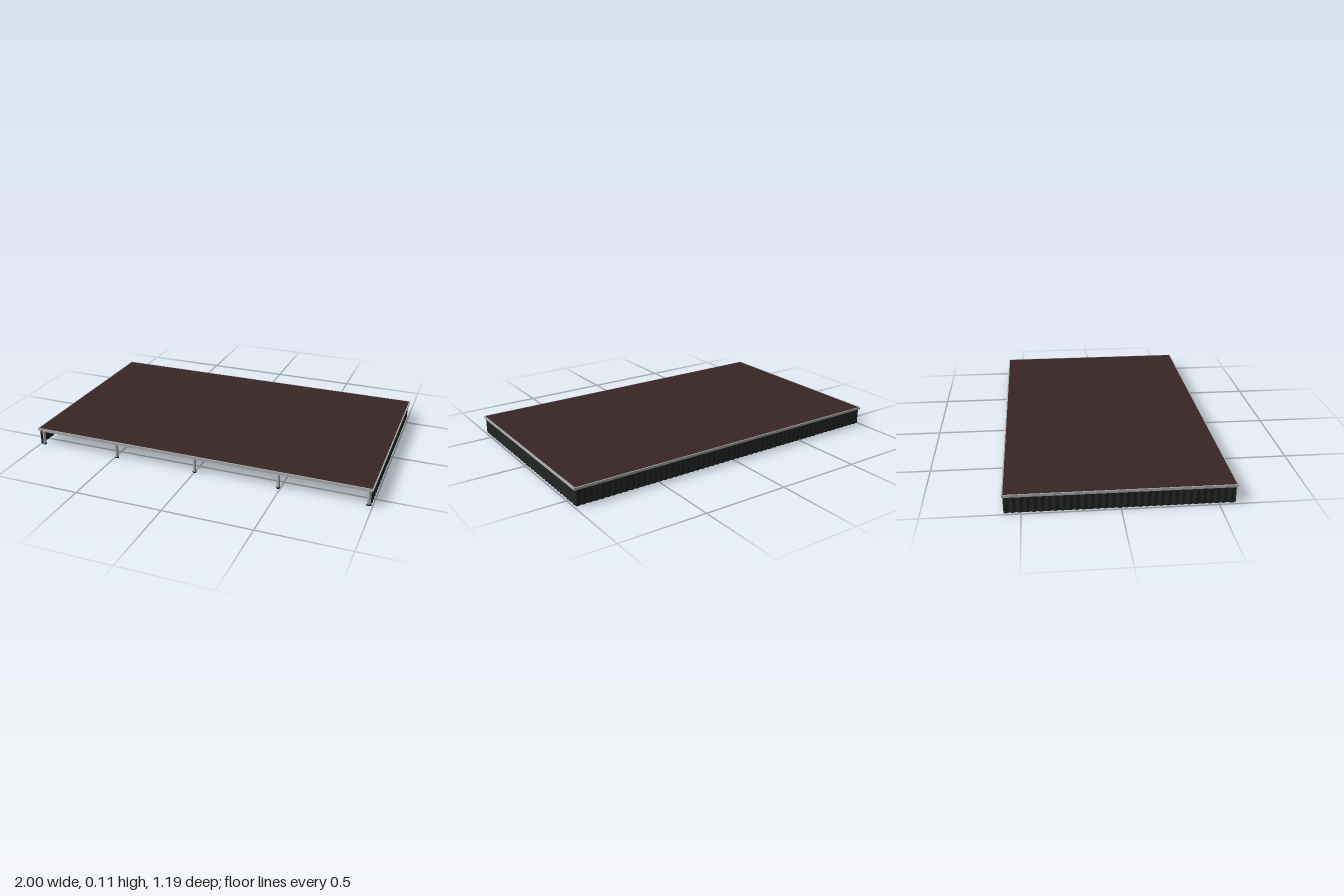
import * as THREE from 'three';

const W = 1.0, D = 0.593, TOP = 0.109, RIM_Y = 0.095;

function material(name, color, side = THREE.FrontSide) {
  const m = new THREE.MeshStandardMaterial({ color, side });
  m.name = name;
  return m;
}

// Pleated cloth hanging along a straight line from a to b ([x, z] pairs)
function pleatedCloth(a, b, y0, y1) {
  const length = Math.hypot(b[0] - a[0], b[1] - a[1]);
  const pleats = Math.round(length / 0.035);
  const geo = new THREE.PlaneGeometry(length, y1 - y0, pleats * 6, 1);
  const pos = geo.attributes.position;
  for (let i = 0; i < pos.count; i++) {
    const t = pos.getX(i) / length + 0.5;
    pos.setZ(i, 0.003 * Math.sin(t * pleats * Math.PI * 2));
  }
  geo.rotateY(-Math.atan2(b[1] - a[1], b[0] - a[0]));
  geo.translate((a[0] + b[0]) / 2, (y0 + y1) / 2, (a[1] + b[1]) / 2);
  geo.computeVertexNormals();
  return geo;
}

export function createModel() {
  const model = new THREE.Group();
  model.name = 'stagePlatform';

  const brown = material('deckBrown', 0x3a2626);
  const grey = material('metalGrey', 0xaeb2b2);
  const black = material('skirtBlack', 0x242626, THREE.DoubleSide);
  const rubber = material('footBlack', 0x161616);

  function add(name, geo, mat, x = 0, y = 0, z = 0) {
    const mesh = new THREE.Mesh(geo, mat);
    mesh.name = name;
    mesh.position.set(x, y, z);
    model.add(mesh);
  }
  const box = (name, mat, w, h, d, x, y, z) => add(name, new THREE.BoxGeometry(w, h, d), mat, x, y, z);

  // Deck panel, set inside a metal rim
  const rimH = TOP - RIM_Y, rimY = (TOP + RIM_Y) / 2, rimT = 0.006;
  box('deck', brown, 2 * (W - rimT), rimH - 0.001, 2 * (D - rimT), 0, rimY, 0);
  for (const s of [-1, 1]) {
    box('longRim', grey, 2 * W, rimH, rimT, 0, rimY, s * (D - rimT / 2));
    box('sideRim', grey, rimT, rimH, 2 * (D - rimT), s * (W - rimT / 2), rimY, 0);
  }

  // Beams under the deck
  const beam = 0.013, beamY = RIM_Y - beam / 2;
  const rows = [-0.57, 0, 0.57];
  for (const z of rows) box('longBeam', grey, 1.97, beam, beam, 0, beamY, z);
  for (const x of [-0.978, -0.75, -0.375, 0, 0.375, 0.75, 0.978]) {
    box('crossBeam', grey, beam, beam - 0.001, 1.14, x, beamY + 0.0005, 0);
  }

  // Legs with rubber feet
  const legTop = RIM_Y - 0.004, footH = 0.006;
  const legGeo = new THREE.CylinderGeometry(0.009, 0.009, legTop - footH, 16);
  const footGeo = new THREE.CylinderGeometry(0.011, 0.011, footH, 16);
  for (const z of rows) {
    for (let i = -2; i <= 2; i++) {
      add('leg', legGeo, grey, i * 0.488, (legTop + footH) / 2, z);
      add('foot', footGeo, rubber, i * 0.488, footH / 2, z);
    }
  }

  // Cloth skirts on the back and both sides, front left open
  const sx = 0.99, sz = 0.586;
  add('backSkirt', pleatedCloth([sx, -sz], [-sx, -sz], 0.004, RIM_Y), black);
  add('leftSkirt', pleatedCloth([sx, sz], [sx, -sz], 0.004, RIM_Y), black);
  add('rightSkirt', pleatedCloth([-sx, -sz], [-sx, sz], 0.004, RIM_Y), black);

  return model;
}
